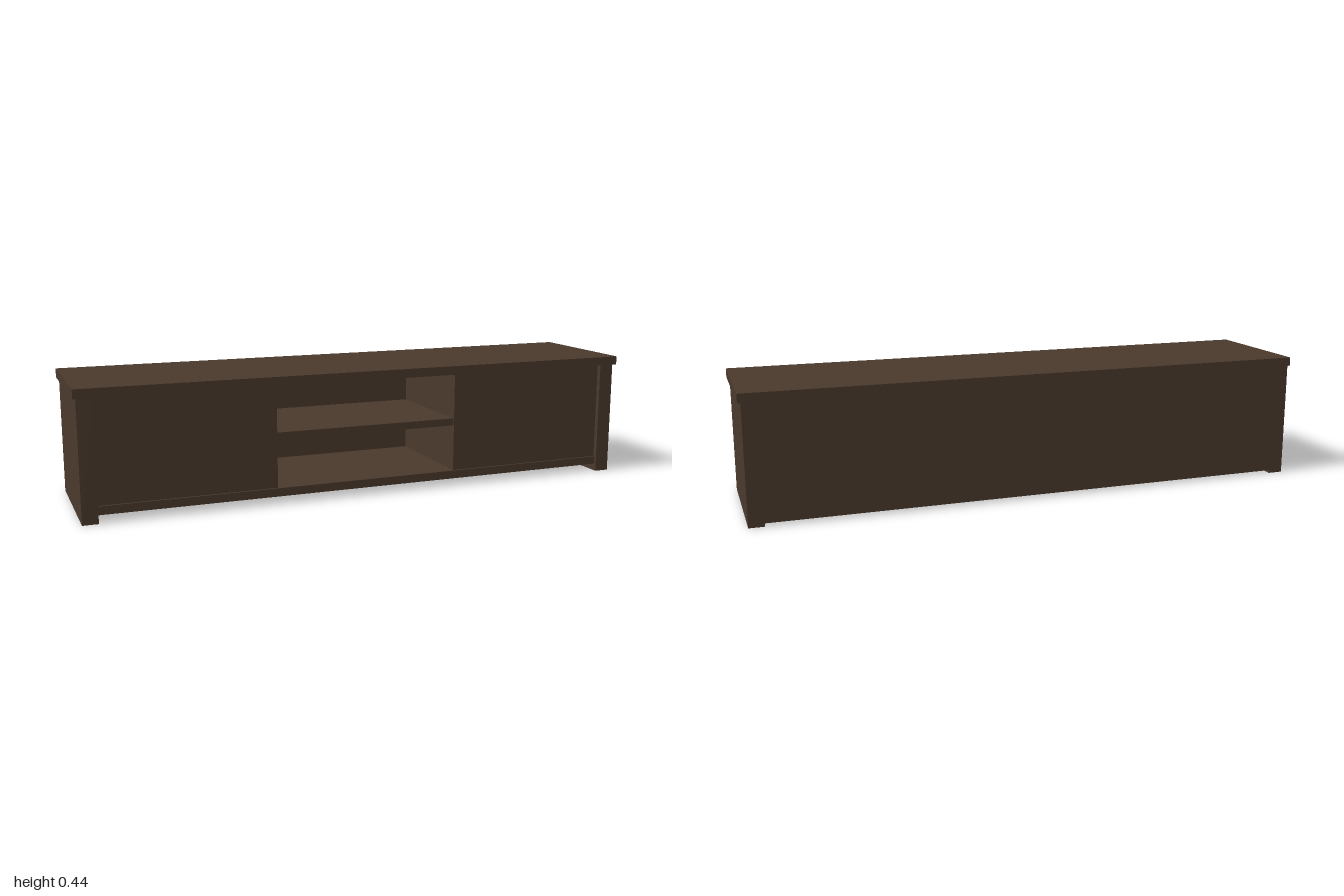
import * as THREE from 'three';

export function createModel() {
  const group = new THREE.Group();
  group.name = 'mediaCabinet';
  const wood = new THREE.MeshStandardMaterial({ color: 0x4a392b });
  wood.name = 'darkWood';

  // Box given by its minimum and maximum on each axis
  const board = (name, [x0, x1], [y0, y1], [z0, z1]) => {
    const mesh = new THREE.Mesh(new THREE.BoxGeometry(x1 - x0, y1 - y0, z1 - z0), wood);
    mesh.position.set((x0 + x1) / 2, (y0 + y1) / 2, (z0 + z1) / 2);
    mesh.name = name;
    group.add(mesh);
  };

  // Overhanging top, raised bottom and back
  board('topBoard', [-1, 1], [0.41, 0.441], [-0.231, 0.231]);
  board('bottomBoard', [-0.937, 0.937], [0.026, 0.055], [-0.211, 0.211]);
  board('backPanel', [-0.937, 0.937], [0.011, 0.41], [-0.231, -0.211]);

  // Open compartment shelf
  board('middleShelf', [-0.333, 0.333], [0.22, 0.246], [-0.211, 0.2]);

  // Mirrored side panels, dividers and doors
  for (const [side, s] of [['left', 1], ['right', -1]]) {
    const span = (a, b) => (s > 0 ? [a, b] : [-b, -a]);
    board(side + 'SidePanel', span(0.937, 0.99), [0, 0.41], [-0.231, 0.221]);
    board(side + 'Divider', span(0.333, 0.36), [0.055, 0.41], [-0.211, 0.18]);
    board(side + 'Door', span(0.333, 0.937), [0.055, 0.41], [0.18, 0.204]);
  }
  return group;
}
